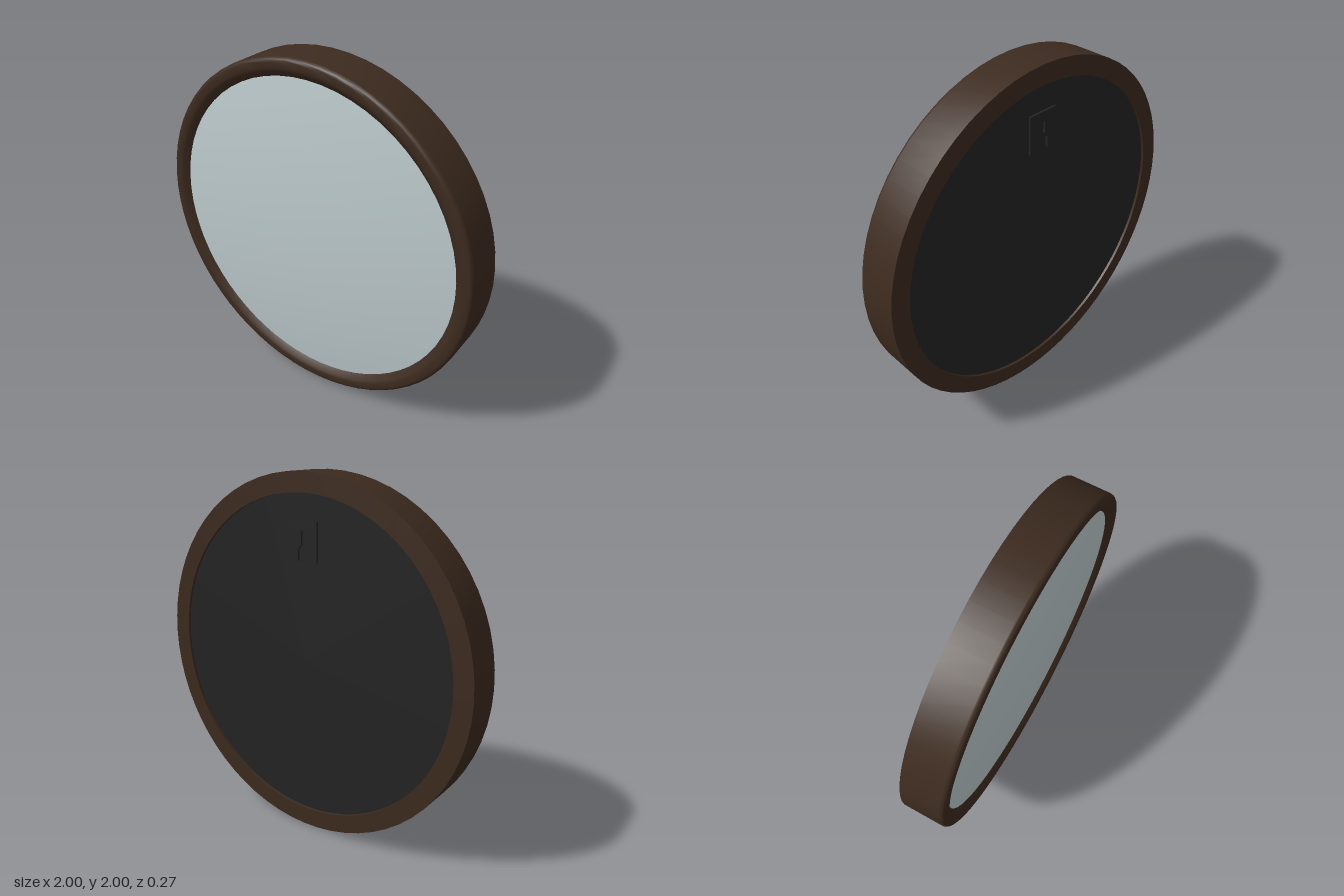
import * as THREE from 'three';
import { toCreasedNormals } from 'three/addons/utils/BufferGeometryUtils.js';

const SEGMENTS = 64;

function material(name, color) {
  const m = new THREE.MeshStandardMaterial({ color });
  m.name = name;
  return m;
}

// Revolve a [radius, z] profile around the z axis
function turned(name, profile, mat, crease) {
  const points = profile.map(([r, z]) => new THREE.Vector2(r, z));
  let geometry = new THREE.LatheGeometry(points, SEGMENTS).rotateX(Math.PI / 2);
  if (crease) geometry = toCreasedNormals(geometry, crease);
  const mesh = new THREE.Mesh(geometry, mat);
  mesh.name = name;
  mesh.position.y = 1;
  return mesh;
}

export function createModel() {
  const wood = material('dark brown wood', 0x3d2b1f);
  const glass = material('pale silver glass', 0xc0cdd0);
  const backing = material('charcoal backing', 0x242424);
  const group = new THREE.Group();
  group.name = 'roundMirror';

  // Frame: flat back, rounded outer front edge, sloped inner lip
  const frame = [[0.895, -0.135], [1, -0.135]];
  const bevel = 0.025;
  for (let i = 0; i <= 5; i++) {
    const a = (i / 5) * Math.PI / 2;
    frame.push([1 - bevel + bevel * Math.cos(a), 0.11 - bevel + bevel * Math.sin(a)]);
  }
  frame.push([0.945, 0.11], [0.93, 0.105], [0.895, 0.075], [0.895, -0.135]);
  group.add(turned('frame', frame, wood, 0.6));

  // Gently domed glass
  const dome = [];
  for (let i = 0; i <= 12; i++) {
    const r = 0.9 * (1 - i / 12);
    dome.push([r, 0.135 - r * r * 0.069]);
  }
  group.add(turned('glass', dome, glass));

  // Recessed back panel
  group.add(turned('backPanel', [[0, -0.12], [0.896, -0.12]], backing));

  // Hanger plate with a slot that narrows upwards
  const plate = new THREE.Shape([
    [-0.09, -0.105], [-0.03, -0.105], [-0.03, -0.045], [-0.011, -0.02], [-0.011, 0.05],
    [0.011, 0.05], [0.011, -0.02], [0.03, -0.045], [0.03, -0.105], [0.09, -0.105],
    [0.09, 0.105], [-0.09, 0.105],
  ].map(([x, y]) => new THREE.Vector2(x, y)));
  const hanger = new THREE.Mesh(
    new THREE.ExtrudeGeometry(plate, { depth: 0.012, bevelEnabled: false }), backing);
  hanger.name = 'hangerPlate';
  hanger.position.set(0, 1.65, -0.132);
  group.add(hanger);

  return group;
}
